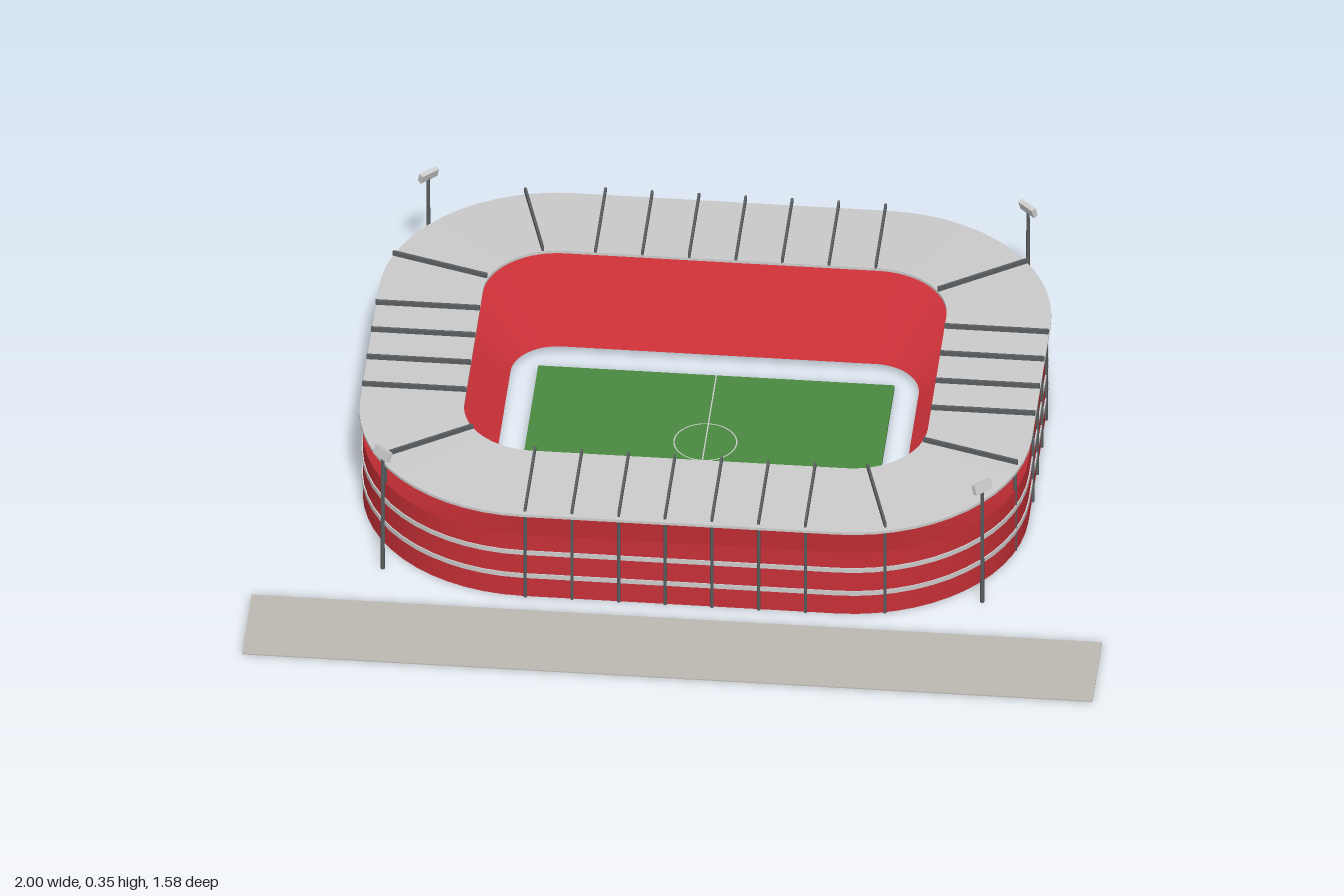
import * as THREE from 'three';
import { toCreasedNormals } from 'three/addons/utils/BufferGeometryUtils.js';

const HX = 0.79, HZ = 0.647, R = 0.42, CORNER = 14;

// Rounded-rectangle outline, inset from the roof edge
function outline(inset) {
  const points = [], r = R - inset;
  const corners = [[1, 1], [-1, 1], [-1, -1], [1, -1]];
  corners.forEach(([sx, sz], k) => {
    for (let i = 0; i <= CORNER; i++) {
      const a = (k + i / CORNER) * Math.PI / 2;
      points.push([sx * (HX - R) + r * Math.cos(a), sz * (HZ - R) + r * Math.sin(a)]);
    }
  });
  return points;
}

// Sweeps a profile of [inset, height] points around the outline
function ringGeometry(profile) {
  const n = 4 * (CORNER + 1), position = [], index = [];
  for (const [inset, y] of profile) {
    for (const [x, z] of outline(inset)) position.push(x, y, z);
  }
  for (let p = 0; p < profile.length - 1; p++) {
    for (let i = 0; i < n; i++) {
      const j = (i + 1) % n, a = p * n, b = a + n;
      index.push(a + i, b + i, a + j, a + j, b + i, b + j);
    }
  }
  const g = new THREE.BufferGeometry();
  g.setAttribute('position', new THREE.Float32BufferAttribute(position, 3));
  g.setIndex(index);
  return toCreasedNormals(g, 0.5);
}

export function createModel() {
  const model = new THREE.Group();
  model.name = 'stadiumModel';
  const stadium = new THREE.Group();
  stadium.name = 'stadium';
  stadium.position.z = -0.15;
  model.add(stadium);

  const mat = (color, side = THREE.FrontSide) => new THREE.MeshStandardMaterial({ color, side });
  const red = mat(0xc62f36, THREE.DoubleSide);
  const grey = mat(0xcccccc, THREE.DoubleSide);
  const dark = mat(0x5a5e60);
  const green = mat(0x4a8a40);
  const white = mat(0xeeeeee);
  const paving = mat(0xbdbab2);

  const add = (name, geometry, material, parent = stadium) => {
    const mesh = new THREE.Mesh(geometry, material);
    mesh.name = name;
    parent.add(mesh);
    return mesh;
  };

  // Outer wall, sloping stands and the two pale bands
  add('outerWall', ringGeometry([[0.008, 0], [0.008, 0.176]]), red);
  add('seatingBowl', ringGeometry([[0.008, 0.176], [0.31, 0.02]]), red);
  for (const y of [0.06, 0.126]) {
    add('wallBand', ringGeometry([
      [0.008, y - 0.006], [0.005, y - 0.006], [0.005, y + 0.006], [0.008, y + 0.006],
    ]), grey);
  }

  // Roof ring, rising slightly toward the pitch
  add('roof', ringGeometry([
    [0, 0.233], [0, 0.24], [0.245, 0.249], [0.245, 0.242], [0, 0.233],
  ]), grey);

  // Roof beams with a column under each; half are listed, the rest turned 180 degrees
  const beams = [
    ...[-0.297, -0.187, -0.077, 0.033, 0.142, 0.252, 0.362].map(x => [x, -0.647, x, -0.402]),
    ...[-0.18, -0.071, 0.039, 0.148].map(z => [0.79, z, 0.545, z]),
    [0.714, -0.46, 0.516, -0.325],
    [0.768, 0.348, 0.54, 0.278],
    [0.484, 0.63, 0.42, 0.397],
  ];
  const columnGeometry = new THREE.CylinderGeometry(0.004, 0.004, 0.236, 8);
  for (const turn of [1, -1]) {
    for (const b of beams) {
      const [x0, z0, x1, z1] = b.map(v => v * turn);
      const length = Math.hypot(x1 - x0, z1 - z0);
      const beam = add('roofBeam', new THREE.BoxGeometry(0.006, 0.012, length), dark);
      beam.position.set((x0 + x1) / 2, 0.255, (z0 + z1) / 2);
      beam.rotation.y = Math.atan2(x1 - x0, z1 - z0);
      const t = 0.006 / length;
      add('column', columnGeometry, dark)
        .position.set(x0 + (x1 - x0) * t, 0.118, z0 + (z1 - z0) * t);
    }
  }

  // Pitch with halfway line and centre circle
  add('pitch', new THREE.BoxGeometry(0.838, 0.01, 0.54), green).position.y = 0.005;
  add('halfwayLine', new THREE.BoxGeometry(0.003, 0.001, 0.54), white).position.y = 0.0105;
  const circle = add('centreCircle', new THREE.RingGeometry(0.072, 0.075, 48), white);
  circle.rotation.x = -Math.PI / 2;
  circle.position.y = 0.0112;

  // Floodlights at the four corners, heads tilted toward the pitch
  for (const sx of [-1, 1]) {
    for (const sz of [-1, 1]) {
      const light = new THREE.Group();
      light.name = 'floodlight';
      light.position.set(sx * 0.705, 0, sz * 0.56);
      light.rotation.y = Math.atan2(-sx, -sz);
      add('pole', new THREE.CylinderGeometry(0.004, 0.005, 0.325, 8), dark, light).position.y = 0.1625;
      const head = add('lampHead', new THREE.BoxGeometry(0.05, 0.024, 0.012), grey, light);
      head.position.y = 0.332;
      head.rotation.x = 0.3;
      stadium.add(light);
    }
  }

  // Paved strip in front
  add('forecourt', new THREE.BoxGeometry(2, 0.003, 0.237), paving, model).position.set(0, 0.0015, 0.667);
  return model;
}
